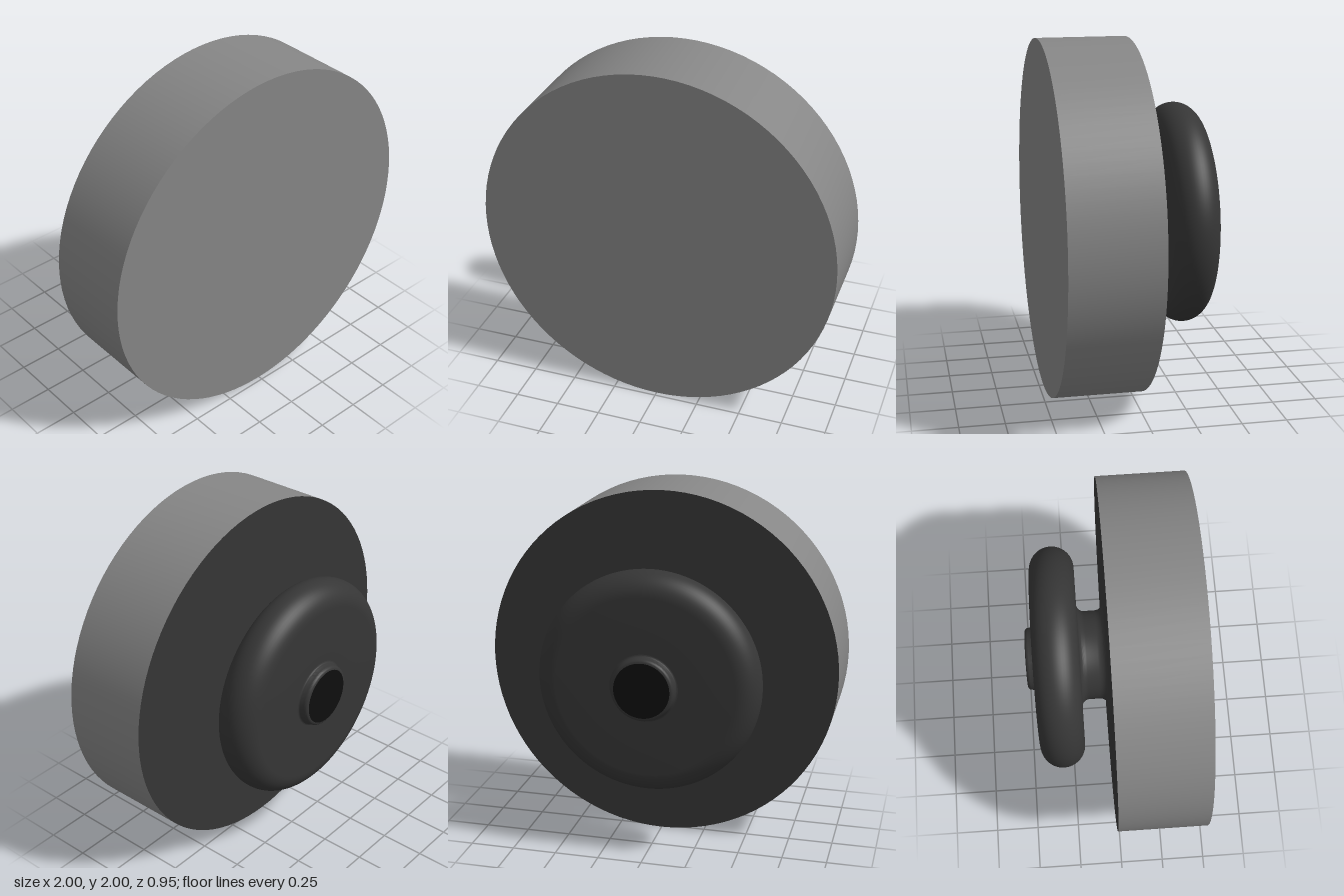
import * as THREE from 'three';
import { toCreasedNormals } from 'three/addons/utils/BufferGeometryUtils.js';

const SEGMENTS = 96;

// Points of an arc in the profile plane (radius, depth), angles in degrees
function arc(r, h, size, from, to, steps) {
  return Array.from({ length: steps + 1 }, (_, i) => {
    const a = THREE.MathUtils.degToRad(from + ((to - from) * i) / steps);
    return new THREE.Vector2(r + size * Math.cos(a), h + size * Math.sin(a));
  });
}

const p = (r, h) => new THREE.Vector2(r, h);

// Revolve a profile; depth increases towards the back (-z)
function turned(name, points, material) {
  const geometry = toCreasedNormals(new THREE.LatheGeometry(points, SEGMENTS), 0.5);
  const mesh = new THREE.Mesh(geometry, material);
  mesh.name = name;
  mesh.rotation.x = -Math.PI / 2;
  return mesh;
}

export function createModel() {
  const grey = new THREE.MeshStandardMaterial({ color: 0x868686 });
  grey.name = 'grey';
  const charcoal = new THREE.MeshStandardMaterial({ color: 0x363636 });
  charcoal.name = 'charcoal';
  const black = new THREE.MeshStandardMaterial({ color: 0x0e0e0e });
  black.name = 'black';

  const group = new THREE.Group();
  group.name = 'discWithKnob';
  group.position.y = 1;

  // Front face and rim of the large disc
  group.add(turned('disc', [p(0, -0.475), p(1, -0.475), p(1, 0.025)], grey));

  // Back plate of the disc
  group.add(turned('backPlate', [p(1, 0.025), p(0.3, 0.025)], charcoal));

  // Filleted neck between disc and knob
  group.add(turned('neck', [
    ...arc(0.3, 0.075, 0.05, 270, 180, 8),
    ...arc(0.29, 0.135, 0.04, 180, 90, 8),
  ], charcoal));

  // Round-edged knob
  group.add(turned('knob', [
    p(0.29, 0.175),
    ...arc(0.5, 0.3, 0.125, -90, 90, 24),
    p(0.19, 0.425),
  ], charcoal));

  // Raised boss with a soft rim
  group.add(turned('boss', [
    ...arc(0.19, 0.437, 0.012, 270, 180, 6),
    ...arc(0.155, 0.455, 0.02, 0, 90, 6),
  ], charcoal));

  // Black end face of the boss
  group.add(turned('endFace', [p(0.155, 0.475), p(0, 0.475)], black));

  const model = new THREE.Group();
  model.add(group);
  return model;
}
